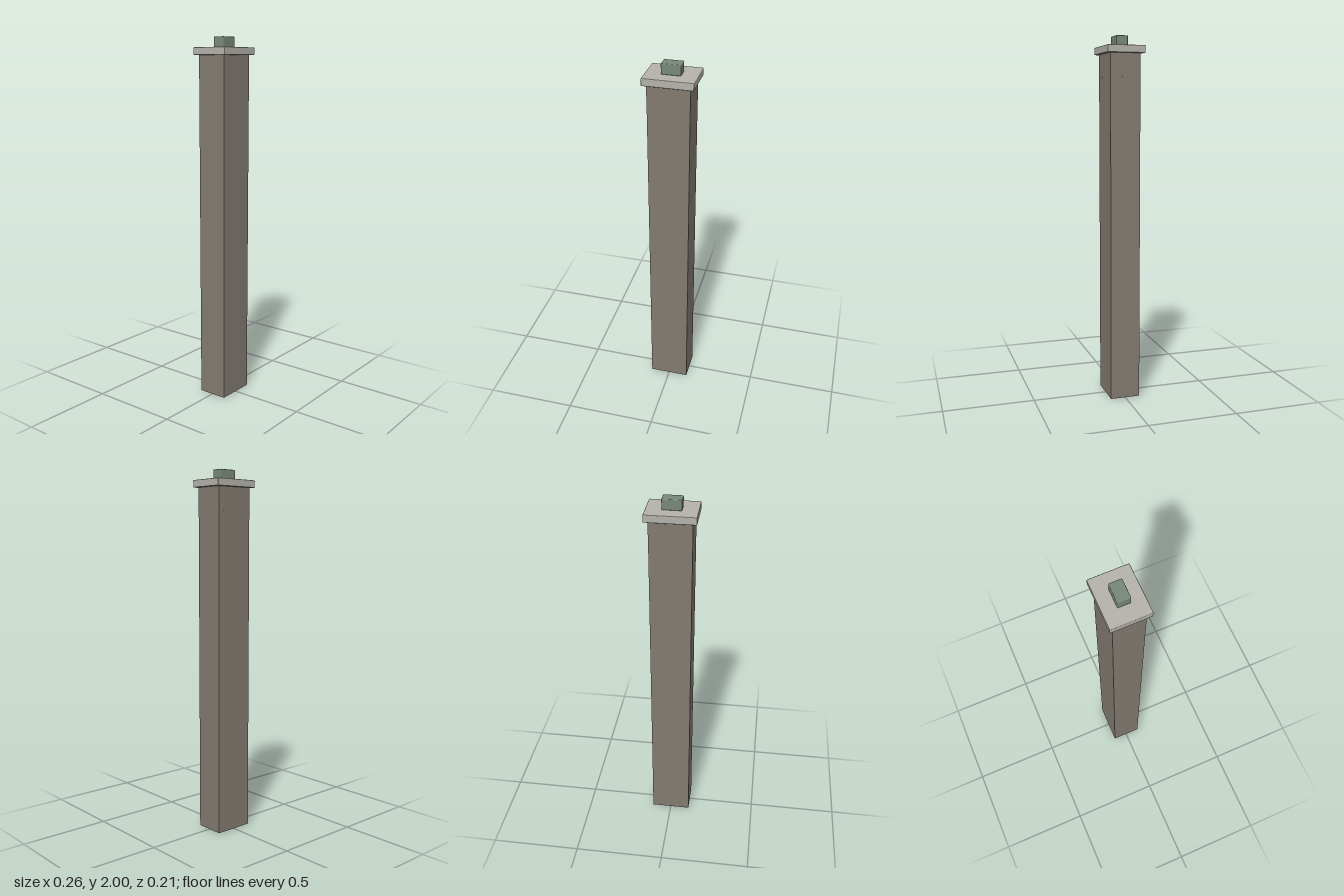
import * as THREE from 'three';
import { RoundedBoxGeometry } from 'three/addons/geometries/RoundedBoxGeometry.js';

export function createModel() {
  const group = new THREE.Group();
  const material = (name, color) => {
    const m = new THREE.MeshStandardMaterial({ color });
    m.name = name;
    return m;
  };
  const stone = material('brown stone', 0x827a70);
  const pale = material('pale stone', 0xb4b2ab);
  const green = material('grey green', 0x788878);

  // Adds a block spanning bottom to top; a radius softens its edges.
  const block = (name, mat, width, depth, bottom, top, radius = 0) => {
    const height = top - bottom;
    const geometry = radius
      ? new RoundedBoxGeometry(width, height, depth, 2, radius)
      : new THREE.BoxGeometry(width, height, depth);
    const mesh = new THREE.Mesh(geometry, mat);
    mesh.name = name;
    mesh.position.y = (bottom + top) / 2;
    group.add(mesh);
  };

  // Tall shaft and the neck above its seam
  block('shaft', stone, 0.22, 0.166, 0, 1.78);
  block('neck', stone, 0.221, 0.167, 1.78, 1.905);

  // Overhanging cap slab and the small block on top
  block('capSlab', pale, 0.264, 0.208, 1.905, 1.945, 0.004);
  block('topBlock', green, 0.102, 0.066, 1.944, 2, 0.005);

  return group;
}
